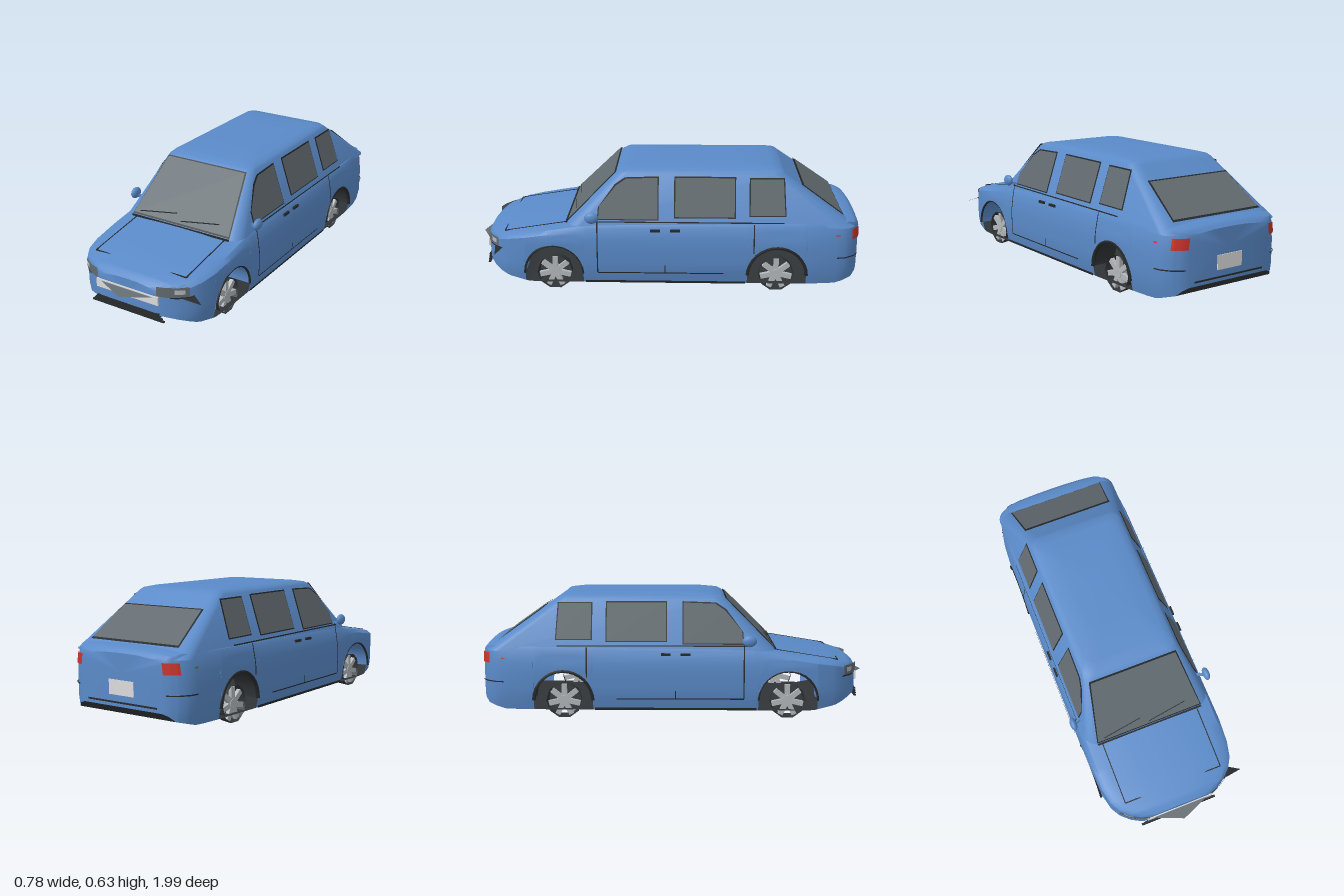
import * as THREE from 'three';
import { toCreasedNormals } from 'three/addons/utils/BufferGeometryUtils.js';

const mat = (name, color) => Object.assign(new THREE.MeshStandardMaterial({ color, side: THREE.DoubleSide }), { name });

// piecewise linear lookup in [key, value] pairs sorted by key
function lookup(table, k) {
  if (k <= table[0][0]) return table[0][1];
  for (let i = 1; i < table.length; i++) {
    const [a, va] = table[i - 1], [b, vb] = table[i];
    if (k <= b) return va + (vb - va) * (k - a) / (b - a);
  }
  return table[table.length - 1][1];
}

// half width along the car, underside height, shoulder height, side bulge by height
const WIDTH = [[-0.99, 0.24], [-0.98, 0.275], [-0.955, 0.31], [-0.91, 0.34], [-0.82, 0.357], [-0.7, 0.365], [0.6, 0.365],
  [0.72, 0.355], [0.8, 0.335], [0.85, 0.305], [0.89, 0.262], [0.92, 0.21], [0.935, 0.16]];
const FLOOR = [[-0.99, 0.11], [-0.96, 0.075], [-0.87, 0.05], [0.7, 0.045], [0.82, 0.07], [0.935, 0.12]];
const TOP = [[-0.99, 0.35], [-0.97, 0.37], [-0.93, 0.382], [-0.5, 0.375], [0.4, 0.362], [0.5, 0.346], [0.8, 0.3], [0.9, 0.276], [0.935, 0.252]];
const BULGE = [[0.04, 0.95], [0.12, 1], [0.27, 1], [0.38, 0.94]];
const ARCH_Z = [0.57, -0.57], ARCH_Y = 0.1, ARCH_R = 0.15;

const belt = { y: 0.35, hw: 0.342, zf: 0.505, zb: -0.965, r: 0.07 };
const eave = { y: 0.605, hw: 0.257, zf: 0.25, zb: -0.605, r: 0.05 };
const mix = THREE.MathUtils.lerp;
const cabinT = y => (y - belt.y) / (eave.y - belt.y);
const cabinX = y => mix(belt.hw, eave.hw, cabinT(y));
const sideX = (z, y) => Math.max(lookup(WIDTH, z) * lookup(BULGE, y), y > 0.36 && z < 0.4 && z > -0.85 ? cabinX(y) : 0);

const stations = [...WIDTH, ...FLOOR, ...TOP].map(p => p[0]);
for (const c of ARCH_Z) {
  for (let i = 0; i <= 12; i++) stations.push(c - ARCH_R * Math.cos(i * Math.PI / 12));
  stations.push(c - ARCH_R - 0.001, c + ARCH_R + 0.001);
}
const Z = [...new Set(stations)].sort((a, b) => a - b);

// skin a list of equal-length point rows; optional fans close the ends
function loft(rows, { closed = false, caps = [] } = {}) {
  const n = rows[0].length, pos = rows.flat(2), idx = [];
  for (let r = 0; r < rows.length - 1; r++)
    for (let i = 0; i < (closed ? n : n - 1); i++) {
      const a = r * n + i, b = r * n + (i + 1) % n;
      idx.push(a, b, a + n, b, b + n, a + n);
    }
  for (const r of caps) {
    const c = [0, 1, 2].map(k => rows[r].reduce((s, p) => s + p[k], 0) / n);
    const ci = pos.length / 3;
    pos.push(...c);
    for (let i = 0; i < n; i++) {
      const a = r * n + i, b = r * n + (i + 1) % n;
      idx.push(...(r === 0 ? [b, a, ci] : [a, b, ci]));
    }
  }
  const g = new THREE.BufferGeometry();
  g.setAttribute('position', new THREE.Float32BufferAttribute(pos, 3));
  g.setIndex(idx);
  return toCreasedNormals(g, 0.6);
}

function bodySection(z) {
  const w = lookup(WIDTH, z), top = lookup(TOP, z), half = [];
  let low = lookup(FLOOR, z);
  for (const c of ARCH_Z) {
    const d = Math.abs(z - c);
    if (d <= ARCH_R + 1e-6) low = ARCH_Y + Math.sqrt(Math.max(0, ARCH_R ** 2 - d * d));
  }
  for (let i = 0; i <= 5; i++) {
    const y = mix(low, top - 0.025, i / 5);
    half.push([w * lookup(BULGE, y), y, z]);
  }
  half.push([w * 0.93, top - 0.007, z], [w * 0.8, top, z], [w * 0.4, top + 0.008, z]);
  return [...half, [0, top + 0.01, z], ...half.map(([x, y]) => [-x, y, z]).reverse()];
}

// rounded rectangle ring of the cabin
function cabinRing({ y, hw, zf, zb, r }) {
  const pts = [];
  [[1, zf, 0], [-1, zf, 1], [-1, zb, 2], [1, zb, 3]].forEach(([s, z, q]) => {
    for (let i = 0; i <= 5; i++) {
      const a = (q + i / 5) * Math.PI / 2;
      pts.push([s * (hw - r) + r * Math.cos(a), y, z + (q < 2 ? -r : r) + r * Math.sin(a)]);
    }
  });
  return pts;
}

// thin skin lying on the body side between two z and two y values
function sidePatch(side, z0, z1, y0, y1) {
  const zs = [z0, ...Z.filter(z => z > z0 + 1e-3 && z < z1 - 1e-3), z1];
  return loft(zs.map(z => [0, 1, 2, 3, 4].map(k => {
    const y = mix(y0, y1, k / 4);
    return [side * (sideX(z, y) + 0.004), y, z + (Math.abs(z) > 0.8 ? Math.sign(z) * 0.004 : 0)];
  })));
}

export function createModel() {
  const car = new THREE.Group();
  car.name = 'car';
  const paint = mat('bluePaint', 0x5a8ac8), glass = mat('greyGlass', 0x626b70), black = mat('blackTrim', 0x26292b);
  const under = mat('darkUnderside', 0x303437), silver = mat('silver', 0xb4b8bb), red = mat('redLens', 0xc9332b), white = mat('whitePlate', 0xdcdcdc);
  const add = (name, geo, material, parent = car) => {
    const m = new THREE.Mesh(geo, material);
    m.name = name;
    parent.add(m);
    return m;
  };
  const box = (name, w, h, d, x, y, z, m) => add(name, new THREE.BoxGeometry(w, h, d), m).position.set(x, y, z);
  const bar = (name, a, b, t, m) => {
    const p = new THREE.Vector3(...a), q = new THREE.Vector3(...b);
    const mesh = add(name, new THREE.BoxGeometry(t, t, p.distanceTo(q)), m);
    mesh.position.copy(p).add(q).multiplyScalar(0.5);
    mesh.lookAt(q);
  };
  // flat polygon plate from 3D corners
  const plate = (name, pts, m) => {
    const g = new THREE.BufferGeometry();
    g.setAttribute('position', new THREE.Float32BufferAttribute(pts.flat(), 3));
    g.setIndex(pts.slice(2).flatMap((_, i) => [0, i + 1, i + 2]));
    g.computeVertexNormals();
    add(name, g, m);
  };
  // glass with a slightly larger black surround; place(u, y, offset) maps to 3D
  const pane = (name, outline, place) => {
    const c = [0, 1].map(k => (Math.min(...outline.map(p => p[k])) + Math.max(...outline.map(p => p[k]))) / 2);
    const seal = outline.map(p => p.map((v, k) => v + Math.sign(v - c[k]) * 0.006));
    plate(name + 'Seal', seal.map(p => place(...p, 0.003)), black);
    plate(name, outline.map(p => place(...p, 0.006)), glass);
  };

  // body shell, underside and cabin
  add('lowerBody', loft(Z.map(bodySection), { caps: [0, Z.length - 1] }), paint);
  add('underside', loft(Z.map(z => {
    const y = lookup(FLOOR, z), x = lookup(WIDTH, z) * lookup(BULGE, y);
    return [[-x, y, z], [x, y, z]];
  })), under);
  add('cabin', loft([belt, eave,
    { y: 0.619, hw: 0.243, zf: 0.228, zb: -0.59, r: 0.05 },
    { y: 0.628, hw: 0.21, zf: 0.17, zb: -0.54, r: 0.05 },
    { y: 0.634, hw: 0.12, zf: 0.0, zb: -0.4, r: 0.05 }].map(cabinRing), { closed: true, caps: [4] }), paint);

  // windscreen, rear window and wipers
  const screenZ = y => mix(belt.zf, eave.zf, cabinT(y));
  const rearZ = y => mix(belt.zb, eave.zb, cabinT(y));
  pane('windscreen', [[-0.285, 0.362], [0.285, 0.362], [0.23, 0.6], [-0.23, 0.6]], (x, y, o) => [x, y + o, screenZ(y) + o]);
  pane('rearWindow', [[-0.262, 0.4], [0.262, 0.4], [0.238, 0.54], [-0.238, 0.54]], (x, y, o) => [x, y + o, rearZ(y) - o]);
  for (const x of [-0.25, 0])
    bar('wiper', [x, 0.378, screenZ(0.37) + 0.006], [x + 0.21, 0.402, screenZ(0.396) + 0.006], 0.004, black);

  // bonnet seams, grille, lower slats
  const hoodY = z => lookup(TOP, z) + 0.002;
  bar('cowlLine', [-0.29, hoodY(0.505) + 0.006, 0.508], [0.29, hoodY(0.505) + 0.006, 0.508], 0.008, black);
  bar('bonnetFrontSeam', [-0.265, hoodY(0.83), 0.83], [0.265, hoodY(0.83), 0.83], 0.005, black);
  for (const s of [-1, 1]) bar('bonnetSideSeam', [s * 0.265, hoodY(0.5), 0.5], [s * 0.265, hoodY(0.83), 0.83], 0.005, black);
  box('grille', 0.36, 0.044, 0.008, 0, 0.195, 0.936, white);
  for (let i = 0; i < 4; i++) box('lowerSlat', 0.42 - i * 0.02, 0.006, 0.012, 0, 0.095 + i * 0.01, 0.936, black);
  plate('bumperPoint', [[-0.2, 0.215, 0.92], [0, 0.195, 1], [0.2, 0.215, 0.92]], glass);
  plate('bumperSpur', [[0.18, 0.225, 0.9], [0.3, 0.225, 0.83], [0.375, 0.203, 0.87]], black);
  box('numberPlate', 0.15, 0.07, 0.008, 0, 0.2, -0.99, white);
  box('rearBumperLine', 0.42, 0.008, 0.008, 0, 0.13, -0.988, black);

  for (const s of [-1, 1]) {
    // side windows
    const onSide = (z, y, o) => [s * (cabinX(y) + o), y, z];
    pane('frontSideWindow', [[0.04, 0.388], [0.34, 0.388], [0.335, 0.45], [0.25, 0.55], [0.2, 0.582], [0.04, 0.588]], onSide);
    pane('middleSideWindow', [[-0.35, 0.4], [-0.05, 0.4], [-0.05, 0.588], [-0.35, 0.588]], onSide);
    pane('rearSideWindow', [[-0.605, 0.41], [-0.43, 0.41], [-0.43, 0.584], [-0.595, 0.584]], onSide);

    // lamps wrapped round the corners
    add('headlight', sidePatch(s, 0.855, 0.933, 0.22, 0.27), glass);
    add('headlightLens', sidePatch(s * 1.005, 0.87, 0.9, 0.235, 0.258), silver);
    add('headlightBase', sidePatch(s, 0.845, 0.91, 0.213, 0.22), black);
    add('tailLight', sidePatch(s, -0.988, -0.945, 0.285, 0.338), red);
    add('sideMarker', sidePatch(s, -0.88, -0.86, 0.308, 0.315), red);
    add('rearCornerLine', sidePatch(s, -0.985, -0.87, 0.19, 0.196), black);

    // door seams, belt moulding, handles, sill
    add('frontDoorSeam', sidePatch(s, 0.342, 0.348, 0.11, 0.385), black);
    add('rearDoorSeam', sidePatch(s, -0.453, -0.447, 0.22, 0.37), black);
    add('doorBottomSeam', sidePatch(s, -0.3, 0.345, 0.105, 0.111), black);
    add('middleDoorSeam', sidePatch(s, -0.003, 0.002, 0.108, 0.15), black);
    add('beltMoulding', sidePatch(s, -0.6, 0.36, 0.374, 0.38), black);
    add('sill', sidePatch(s, -0.41, 0.41, 0.047, 0.06), black);
    for (const z of [0.05, -0.05]) box('doorHandle', 0.012, 0.012, 0.05, s * (sideX(z, 0.335) + 0.004), 0.335, z, black);

    // door mirror
    const mirror = add('mirror', new THREE.SphereGeometry(1, 16, 12), paint);
    mirror.scale.set(0.018, 0.029, 0.036);
    mirror.position.set(s * 0.372, 0.405, 0.37);
    bar('mirrorStem', [s * 0.325, 0.385, 0.35], [s * 0.368, 0.392, 0.37], 0.012, paint);

    ARCH_Z.forEach((z, i) => {
      // wheel arch liner and lip
      const liner = add('archLiner', new THREE.CylinderGeometry(ARCH_R, ARCH_R, 0.13, 16, 1, true, 0, Math.PI), i ? under : paint);
      liner.rotation.z = Math.PI / 2;
      liner.position.set(s * 0.297, ARCH_Y, z);
      const lip = add('archLip', new THREE.TorusGeometry(ARCH_R, i ? 0.01 : 0.006, 5, 16, Math.PI), black);
      lip.rotation.y = Math.PI / 2;
      lip.position.set(s * 0.36, ARCH_Y, z);

      // wheel: thin tread, hub and spokes
      const wheel = new THREE.Group();
      wheel.name = 'wheel';
      wheel.position.set(s * 0.3, 0.092, z);
      car.add(wheel);
      add('tread', new THREE.CylinderGeometry(0.092, 0.085, 0.06, 10, 1, true), under, wheel).rotation.z = -s * Math.PI / 2;
      add('hub', new THREE.CylinderGeometry(0.026, 0.026, 0.05, 10), silver, wheel).rotation.z = Math.PI / 2;
      for (let k = 0; k < 7; k++) {
        const a = k * Math.PI * 2 / 7;
        const spoke = add('spoke', new THREE.BoxGeometry(0.02, 0.064, 0.026), silver, wheel);
        spoke.position.set(s * 0.012, 0.05 * Math.cos(a), 0.05 * Math.sin(a));
        spoke.rotation.x = a;
      }
    });
  }
  return car;
}
